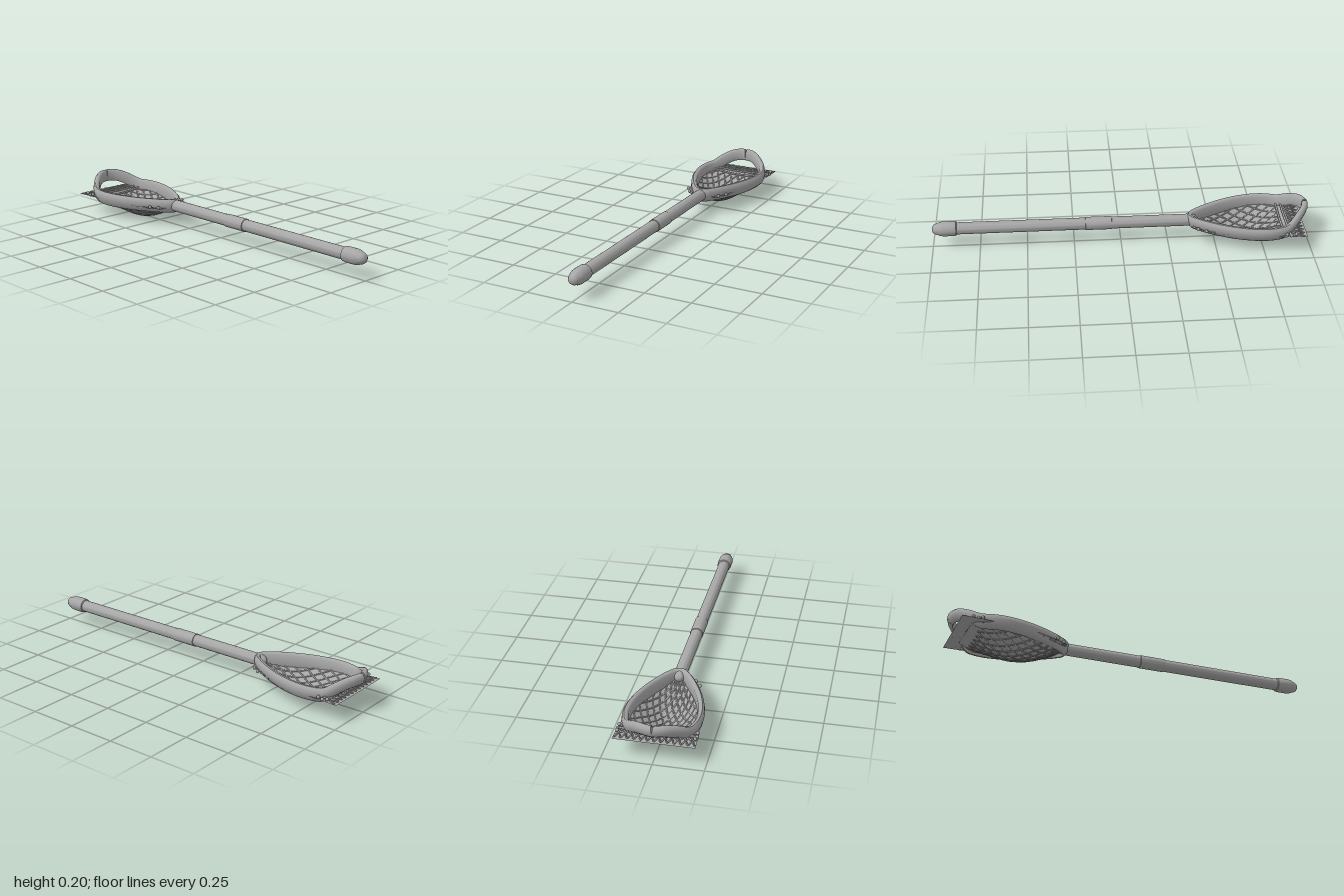
import * as THREE from 'three';
import { toCreasedNormals } from 'three/addons/utils/BufferGeometryUtils.js';

const AXIS_Y = 0.108;

// Linear lookup in a list of [key, value] pairs with falling keys
function lookup(table, key) {
  for (let i = 1; i < table.length; i++) {
    const [k0, a] = table[i - 1], [k1, b] = table[i];
    if (key <= k0 && key >= k1) return a + (b - a) * (key - k0) / (k1 - k0);
  }
  return key > table[0][0] ? table[0][1] : table[table.length - 1][1];
}

// The pocket: half width along z, and a bowl that sags below its flat rim
const WIDTHS = [[-0.38, 0.075], [-0.47, 0.117], [-0.55, 0.15], [-0.65, 0.172], [-0.75, 0.186], [-0.86, 0.197], [-0.97, 0.2]];
function pocketPoint(u, z, raise = 0) {
  const t = THREE.MathUtils.clamp((-0.38 - z) / 0.52, 0, 1);
  const sag = 0.096 * Math.sin(Math.PI * t) * Math.cos(u * Math.PI / 2);
  return new THREE.Vector3(u * lookup(WIDTHS, z), 0.1 - sag + raise, z);
}

// Hoop: a rounded band swept around a teardrop, lifted into a scoop at the far end
function hoopGeometry() {
  const half = [[0.05, -0.988], [0.1, -0.955], [0.155, -0.9], [0.187, -0.83], [0.197, -0.75], [0.183, -0.65],
    [0.15, -0.55], [0.1, -0.45], [0.064, -0.395], [0.035, -0.362]];
  const plan = [[0, -1], ...half, [0, -0.35], ...half.slice().reverse().map(([x, z]) => [-x, z])];
  const curve = new THREE.CatmullRomCurve3(plan.map(([x, z]) => new THREE.Vector3(x, 0, z)), true);
  // [inset from outer edge, height]
  const section = [[0.022, 0.068], [0.007, 0.085], [0, 0.115], [0.003, 0.134], [0.012, 0.145],
    [0.025, 0.144], [0.033, 0.133], [0.033, 0.1], [0.034, 0.077], [0.03, 0.068]];
  const steps = 110, n = section.length, pos = [], index = [];
  for (let i = 0; i <= steps; i++) {
    const p = curve.getPointAt(i / steps), t = curve.getTangentAt(i / steps);
    const lift = THREE.MathUtils.smoothstep(-p.z, 0.85, 1);
    for (const [inset, h] of section) {
      const y = h + lift * THREE.MathUtils.mapLinear(h, 0.068, 0.145, 0.072, 0.06);
      // V-shaped slit where the two ends of the band meet
      const gap = 0.0005 + 0.005 * THREE.MathUtils.clamp((y - 0.18) / 0.025, 0, 1);
      const x = p.x - t.z * inset + (i === 0 ? gap : i === steps ? -gap : 0);
      pos.push(x, y, p.z + t.x * inset);
    }
  }
  for (let i = 0; i < steps; i++) for (let j = 0; j < n; j++) {
    const a = i * n + j, b = i * n + (j + 1) % n;
    index.push(a, b, a + n, b, b + n, a + n);
  }
  const last = steps * n;
  for (let j = 1; j < n - 1; j++) index.push(0, j + 1, j, last, last + j, last + j + 1);
  const g = new THREE.BufferGeometry();
  g.setAttribute('position', new THREE.Float32BufferAttribute(pos, 3));
  g.setIndex(index);
  return toCreasedNormals(g, 0.9);
}

export function createModel() {
  const grey = new THREE.MeshStandardMaterial({ color: 0xa6a6a6 });
  grey.name = 'grey';
  const greySheet = grey;
  greySheet.side = THREE.DoubleSide;
  const model = new THREE.Group();
  model.name = 'netStick';

  function add(name, geometry, parent = model) {
    const mesh = new THREE.Mesh(geometry, grey);
    mesh.name = name;
    parent.add(mesh);
    return mesh;
  }
  // Turned part along z from [radius, z] pairs with rising z
  function turned(name, profile) {
    const g = new THREE.LatheGeometry(profile.map(([r, z]) => new THREE.Vector2(r, z)), 28);
    g.rotateX(Math.PI / 2);
    g.translate(0, AXIS_Y, 0);
    add(name, toCreasedNormals(g, 0.6));
  }
  function cord(name, points, radius, segments, parent) {
    add(name, new THREE.TubeGeometry(new THREE.CatmullRomCurve3(points), segments, radius, 6), parent);
  }

  // Handle
  turned('shaft', [[0, -0.415], [0.012, -0.411], [0.022, -0.402], [0.029, -0.388], [0.032, -0.37], [0.032, 0.9]]);
  turned('gripSleeve', [[0.031, 0.048], [0.035, 0.05], [0.035, 0.188], [0.031, 0.19]]);
  turned('endCap', [[0.031, 0.868], [0.038, 0.872], [0.04, 0.885], [0.04, 0.94], [0.037, 0.958],
    [0.031, 0.97], [0.029, 0.98], [0.022, 0.992], [0.012, 0.998], [0, 1]]);

  // Head
  add('hoop', hoopGeometry());

  // Pocket sheet
  const sheet = new THREE.PlaneGeometry(2, 1, 24, 36);
  const sp = sheet.attributes.position;
  for (let i = 0; i < sp.count; i++) {
    const p = pocketPoint(sp.getX(i), -0.675 - sp.getY(i) * 0.59);
    sp.setXYZ(i, p.x, p.y, p.z);
  }
  sheet.computeVertexNormals();
  add('pocketSheet', sheet);

  // Diamond netting: two families of crossing cords
  const net = new THREE.Group();
  net.name = 'netting';
  model.add(net);
  const drift = 1.34, spacing = 0.222;
  for (let c = -0.89 - drift; c < 0.95; c += spacing) {
    const v0 = Math.max(0, (-0.95 - c) / drift), v1 = Math.min(1, (0.95 - c) / drift);
    if (v1 - v0 < 0.06) continue;
    for (const side of [-1, 1]) {
      const points = [];
      for (let k = 0; k <= 10; k++) {
        const v = v0 + (v1 - v0) * k / 10;
        points.push(pocketPoint(side * (c + drift * v), -0.39 - 0.47 * v));
      }
      cord('netCord', points, 0.0042, 20, net);
    }
  }

  // Cross cords near the scoop, then zigzag lacing behind them
  const across = (z, swing, count, raise) => Array.from({ length: count + 1 }, (_, k) =>
    pocketPoint(-0.97 + 1.94 * k / count, z + (k % 2 ? swing : -swing), raise));
  for (const z of [-0.858, -0.882]) cord('crossCord', across(z, 0, 12, 0.008), 0.006, 30);
  cord('lacing', across(-0.905, 0.008, 32, 0.004), 0.005, 128);
  cord('scallopLacing', across(-0.938, 0.018, 24, 0.003), 0.004, 120);

  // Knots outside the hoop
  const knots = [[0.19, 0.112, -0.862], [0.192, 0.106, -0.885], [0.188, 0.112, -0.91],
    [0.09, 0.103, -0.405], [0.118, 0.105, -0.445]];
  for (const side of [-1, 1]) for (const [x, y, z] of knots) {
    const knot = add('knot', new THREE.SphereGeometry(0.009, 10, 8));
    knot.position.set(side * x, y, z);
  }
  return model;
}
